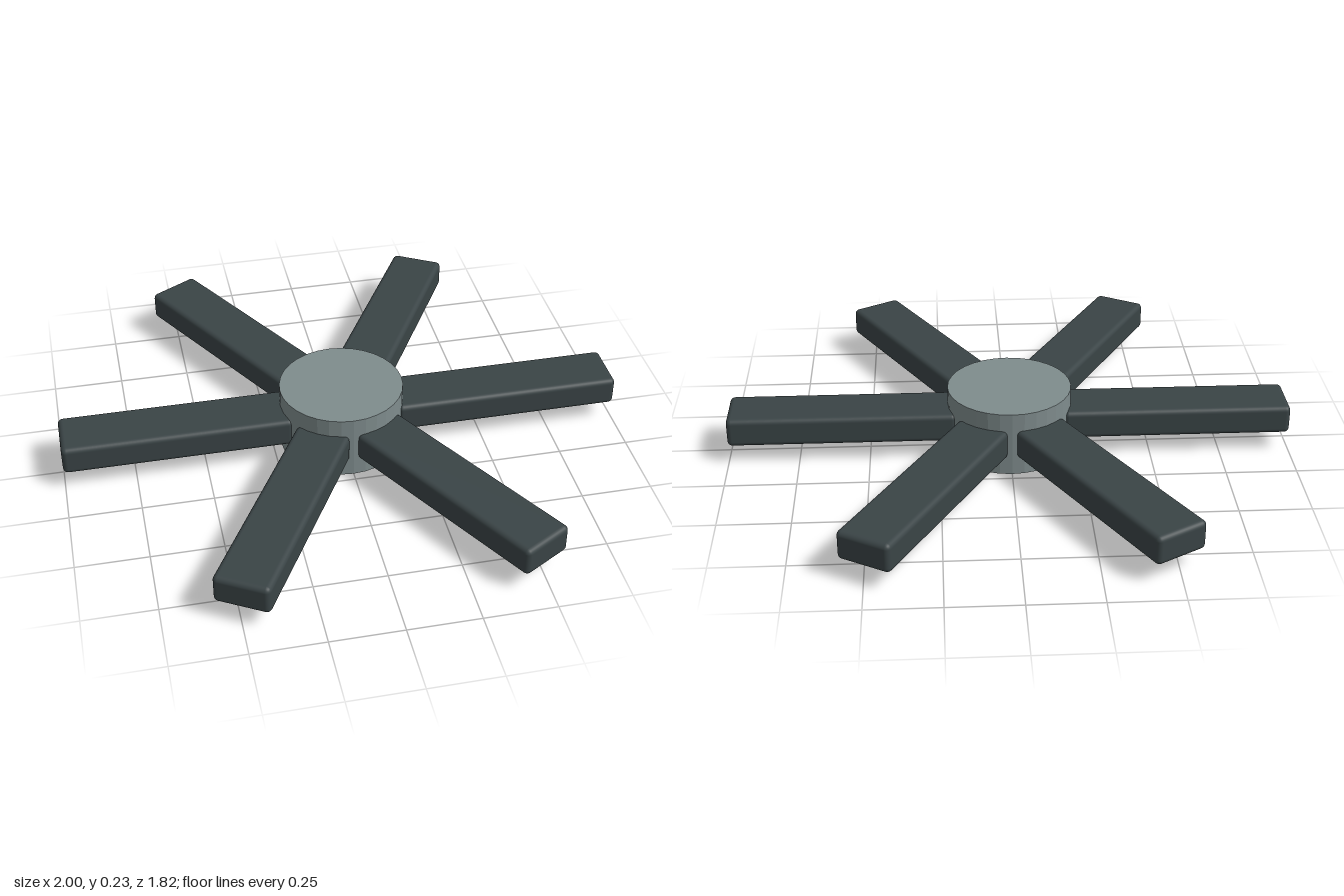
import * as THREE from 'three';
import { RoundedBoxGeometry } from 'three/addons/geometries/RoundedBoxGeometry.js';

const HUB_RADIUS = 0.22, HUB_HEIGHT = 0.235;
const ARM_COUNT = 6, ARM_INNER = 0.19, ARM_OUTER = 1;

export function createModel() {
  const model = new THREE.Group();
  model.name = 'sixArmedSpider';
  const hubMaterial = new THREE.MeshStandardMaterial({ color: 0x7f8c8d, flatShading: true });
  const armMaterial = new THREE.MeshStandardMaterial({ color: 0x3a4446 });

  // Central disc
  const hub = new THREE.Mesh(new THREE.CylinderGeometry(HUB_RADIUS, HUB_RADIUS, HUB_HEIGHT, 32), hubMaterial);
  hub.name = 'hub';
  hub.position.y = HUB_HEIGHT / 2;
  model.add(hub);

  // Soft-edged bars radiating from the hub
  const armGeometry = new RoundedBoxGeometry(ARM_OUTER - ARM_INNER, 0.104, 0.195, 3, 0.018);
  armGeometry.translate((ARM_OUTER + ARM_INNER) / 2, HUB_HEIGHT / 2, 0);
  for (let i = 0; i < ARM_COUNT; i++) {
    const arm = new THREE.Mesh(armGeometry, armMaterial);
    arm.name = `arm${i + 1}`;
    arm.rotation.y = (i / ARM_COUNT) * Math.PI * 2;
    model.add(arm);
  }
  return model;
}
